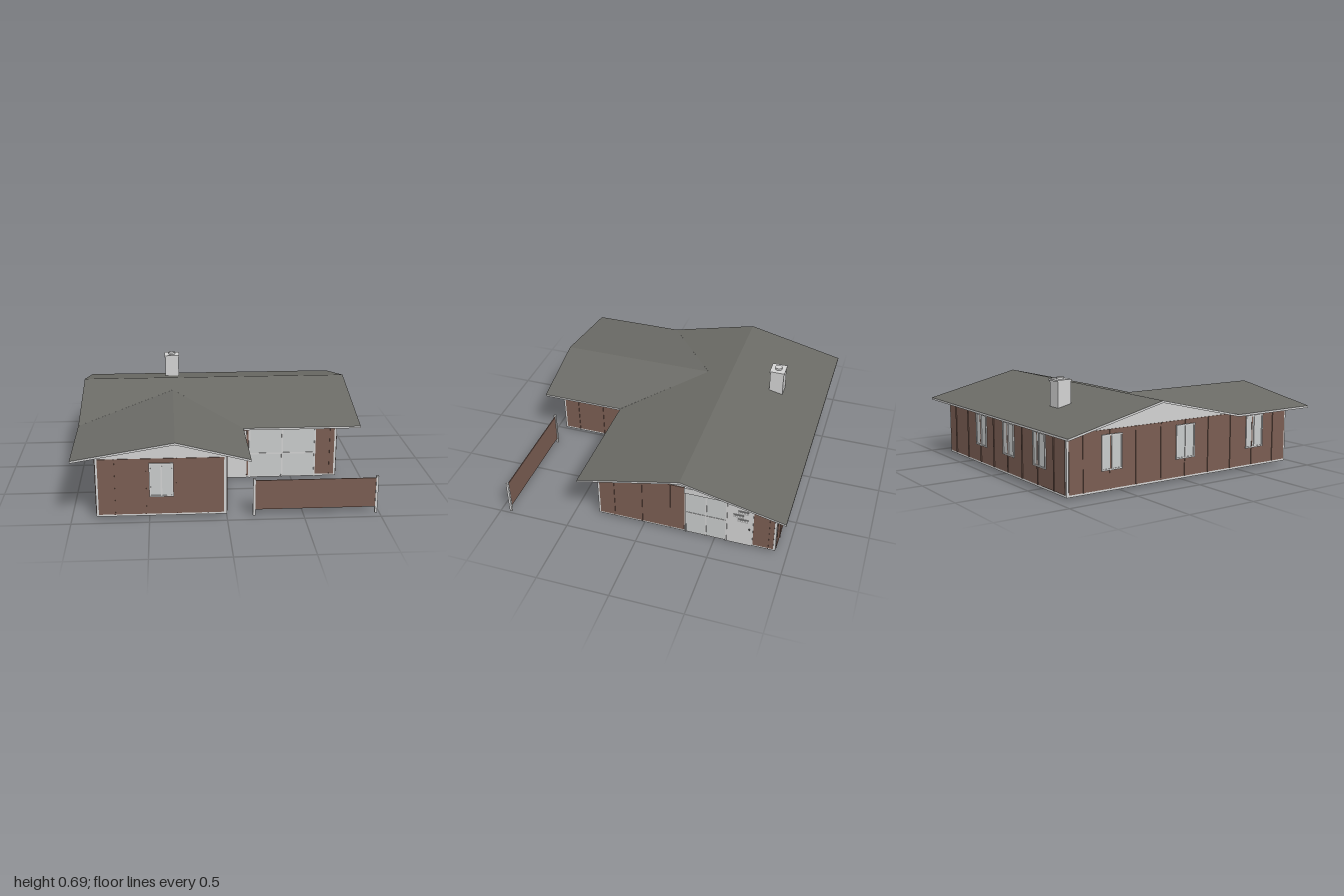
import * as THREE from 'three';

const flat = (name, color) => {
  const m = new THREE.MeshStandardMaterial({ color });
  m.name = name;
  return m;
};

export function createModel() {
  const house = new THREE.Group();
  house.name = 'house';
  const trim = flat('light trim', 0xd2d2d2);
  const brown = flat('brown siding', 0x7a5d52);
  const roofing = flat('grey roofing', 0x6b6b66);
  const glass = flat('pale glass', 0xc8cbcb);
  const lites = flat('grey door lights', 0xa4a4a4);
  const metal = flat('dark metal', 0x555555);

  const BASE = 0.015, TOP = 0.41, THICK = 0.02;

  // box given by its min and max corners
  const box = (parent, name, mat, x0, x1, y0, y1, z0, z1) => {
    const m = new THREE.Mesh(new THREE.BoxGeometry(x1 - x0, y1 - y0, z1 - z0), mat);
    m.position.set((x0 + x1) / 2, (y0 + y1) / 2, (z0 + z1) / 2);
    m.name = name;
    parent.add(m);
    return m;
  };

  // window: glass, four frame bars and a mullion
  const addWindow = (wall, u) => {
    const w = 0.078, y0 = 0.15, y1 = 0.38, b = 0.01;
    const g = new THREE.Group();
    g.name = 'window';
    box(g, 'windowGlass', glass, u - w, u + w, y0, y1, -0.026, 0.007);
    for (const x of [u - w, u - b / 2, u + w - b]) box(g, 'windowBar', trim, x, x + b, y0, y1, 0, 0.012);
    for (const y of [y0, y1 - b]) box(g, 'windowRail', trim, u - w, u + w, y, y + b, 0, 0.013);
    wall.add(g);
  };

  // door: leaf, three staggered lights and a knob; u is its left edge
  const addDoor = (wall, u, width, height) => {
    const g = new THREE.Group();
    g.name = 'door';
    box(g, 'doorLeaf', trim, u, u + width, BASE, height, -0.024, 0.005);
    [[0.07, 0.288], [0.04, 0.252], [0.07, 0.217]].forEach(([dx, y]) => {
      box(g, 'doorLightFrame', lites, u + dx, u + dx + 0.07, y, y + 0.024, 0, 0.01);
      box(g, 'doorLight', trim, u + dx + 0.006, u + dx + 0.064, y + 0.006, y + 0.018, 0.01, 0.012);
    });
    const knob = new THREE.Mesh(new THREE.SphereGeometry(0.006, 10, 8), metal);
    knob.position.set(u + width - 0.022, 0.165, 0.01);
    knob.name = 'doorKnob';
    g.add(knob);
    wall.add(g);
  };

  // glazed panel divided by slim bars
  const addGlazing = (wall, u0, u1, y1) => {
    const g = new THREE.Group();
    g.name = 'glazedPanel';
    box(g, 'panelGlass', glass, u0, u1, BASE + 0.01, y1, -0.024, 0.003);
    for (const t of [0, 0.5, 1]) {
      const u = u0 + (u1 - u0) * t;
      box(g, 'panelBar', trim, u - 0.005, u + 0.005, BASE, y1, 0, 0.007);
    }
    box(g, 'panelRail', trim, u0, u1, 0.19, 0.2, 0, 0.006);
    wall.add(g);
  };

  // wall with local x along it and local z outward; siding lists [u0, u1, y0, y1]
  const addWall = (name, turn, dist, u0, u1, siding, windows = []) => {
    const wall = new THREE.Group();
    wall.name = name;
    wall.rotation.y = turn;
    wall.position.set(Math.sin(turn) * dist, 0, Math.cos(turn) * dist);
    box(wall, 'wallBody', trim, u0, u1, BASE, TOP, -THICK, 0);
    for (const [a, b, y0, y1] of siding) {
      box(wall, 'siding', brown, a, b, y0, y1, 0, 0.004);
      if (y1 - y0 < 0.2) continue;
      for (let u = a + 0.1; u < b - 0.03; u += 0.2) box(wall, 'batten', brown, u, u + 0.008, y0, y1, 0.004, 0.009);
    }
    windows.forEach((u) => addWindow(wall, u));
    house.add(wall);
    return wall;
  };

  const q = Math.PI / 2, lo = 0.03;
  addWall('wingFrontWall', 0, 0.93, -0.84, 0, [[-0.825, -0.018, lo, TOP]], [-0.42]);
  addWall('wingLeftWall', q, 0, -0.93, -0.33, [[-0.915, -0.345, lo, TOP]]);
  addWall('backWall', 2 * q, -0.92 * -1, -0.82, 0.84, [[-0.805, 0.825, lo, TOP]], [-0.285, 0.115, 0.525]);
  addWall('rightWall', -q, 0.84, -0.92, 0.93, [[-0.905, 0.915, lo, TOP]], [-0.59, 0, 0.62]);

  const entry = addWall('entryWall', 0, 0.33, 0, 0.82, [[0.01, 0.192, 0.365, TOP], [0.67, 0.803, lo, TOP]]);
  addDoor(entry, 0.003, 0.175, 0.362);
  box(entry, 'doorSideStrip', brown, 0.18, 0.192, lo, 0.365, 0, 0.004);
  addGlazing(entry, 0.2, 0.665, 0.4);

  const side = addWall('leftWall', q, 0.82, -0.33, 0.92, [[-0.315, 0.29, lo, TOP], [0.765, 0.905, lo, TOP]]);
  addDoor(side, 0.588, 0.174, 0.37);
  addGlazing(side, 0.3, 0.58, 0.37);
  box(side, 'headerBeam', trim, 0.292, 0.762, 0.372, 0.417, 0, 0.015);

  // inner partitions as [x0, x1, z0, z1]
  [
    [-0.83, -0.15, 0.322, 0.334], [-0.83, -0.3, -0.476, -0.464], [-0.306, -0.294, -0.9, -0.55],
    [-0.306, -0.294, -0.4, 0.1], [-0.83, -0.4, -0.1, -0.088], [0.1, 0.112, -0.9, -0.4], [-0.15, 0.5, -0.4, -0.388],
  ].forEach(([x0, x1, z0, z1]) => box(house, 'partition', trim, x0, x1, BASE, TOP - 0.01, z0, z1));

  // gables: thin outlines of [u, y] set in the plane of a wall
  const addGable = (name, turn, dist, pts) => {
    const s = new THREE.Shape(pts.map((p) => new THREE.Vector2(...p)));
    const m = new THREE.Mesh(new THREE.ExtrudeGeometry(s, { depth: 0.012, bevelEnabled: false }), trim);
    m.rotation.y = turn;
    m.position.set(Math.sin(turn) * (dist - 0.012), 0, Math.cos(turn) * (dist - 0.012));
    m.name = name;
    house.add(m);
  };
  addGable('frontGable', 0, 0.93, [[-0.84, 0.405], [0, 0.405], [0, 0.432], [-0.33, 0.52], [-0.84, 0.437]]);
  addGable('leftGable', q, 0.82, [[-0.33, 0.405], [0.92, 0.405], [0.92, 0.414], [0.3, 0.565], [-0.33, 0.414]]);
  addGable('rightGable', -q, 0.84, [[-0.92, 0.405], [0.93, 0.405], [0.93, 0.436], [0.3, 0.436], [-0.3, 0.565], [-0.92, 0.414]]);

  // roof slopes: plan outlines of [x, z] lifted by a height rule
  const T = 0.014;
  const addSlope = (name, plan, height) => {
    const s = new THREE.Shape(plan.map(([x, z]) => new THREE.Vector2(x, -z)));
    const g = new THREE.ExtrudeGeometry(s, { depth: T, bevelEnabled: false });
    g.rotateX(-q);
    const p = g.attributes.position;
    for (let i = 0; i < p.count; i++) p.setY(i, p.getY(i) - T + height(p.getX(i), p.getZ(i)));
    g.computeVertexNormals();
    const m = new THREE.Mesh(g, [roofing, trim]);
    m.name = name;
    house.add(m);
  };
  const mainH = (x, z) => 0.58 - (Math.abs(z + 0.3) * 0.165) / 0.7;
  const wingH = (x) => 0.537 - (x < -0.33 ? (-0.33 - x) * 0.164 : (x + 0.33) * 0.256);
  addSlope('mainRoofBack', [[-0.99, -1], [0.97, -1], [0.97, -0.3], [-0.99, -0.3]], mainH);
  addSlope('mainRoofFront', [[-0.99, -0.3], [0.97, -0.3], [0.97, 0.41], [0.15, 0.41], [-0.33, -0.12], [-0.99, 0.34]], mainH);
  addSlope('wingRoofLeft', [[-0.33, 1], [0.15, 1], [0.15, 0.41], [-0.33, -0.12]], wingH);
  addSlope('wingRoofRight', [[-0.33, 1], [-0.33, -0.12], [-0.99, 0.34], [-0.99, 1]], wingH);

  // chimney with cap and flue
  const chimney = new THREE.Group();
  chimney.name = 'chimney';
  box(chimney, 'chimneyStack', trim, -0.382, -0.278, 0.46, 0.662, -0.697, -0.598);
  box(chimney, 'chimneyCap', trim, -0.387, -0.273, 0.66, 0.672, -0.702, -0.593);
  const flue = new THREE.Mesh(new THREE.CylinderGeometry(0.025, 0.025, 0.016, 20), trim);
  flue.position.set(-0.33, 0.679, -0.648);
  flue.name = 'chimneyFlue';
  chimney.add(flue);
  house.add(chimney);

  // garden screen with two posts
  const fence = new THREE.Group();
  fence.name = 'screenFence';
  box(fence, 'fencePanel', brown, 0.18, 0.975, 0.04, 0.243, 0.927, 0.933);
  for (const x of [0.177, 0.978]) box(fence, 'fencePost', trim, x - 0.008, x + 0.008, 0, 0.257, 0.922, 0.938);
  house.add(fence);

  return house;
}
